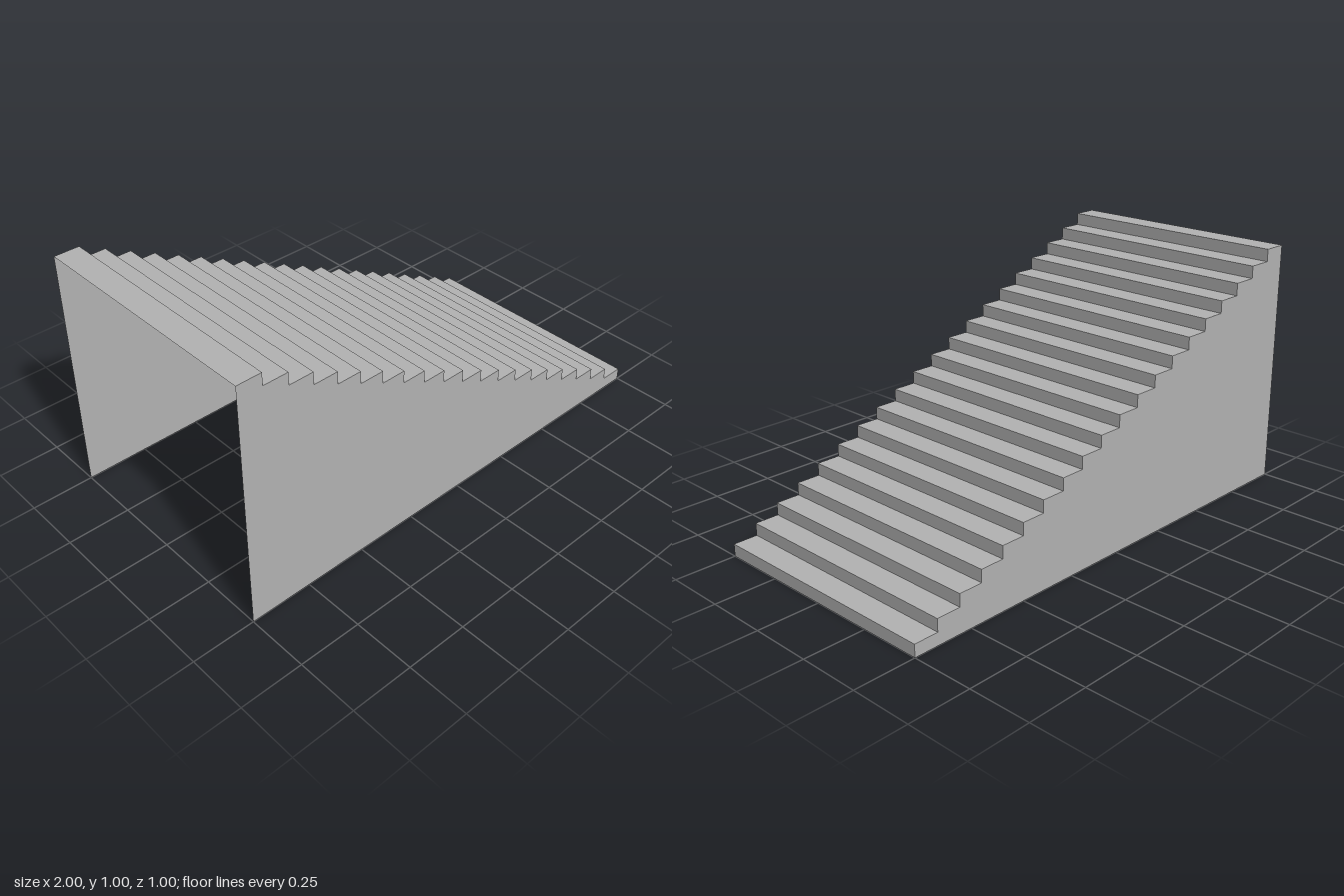
import * as THREE from 'three';

const STEPS = 20, RUN = 0.1, RISE = 0.05, DEPTH = 1;

export function createModel() {
  const group = new THREE.Group();
  group.name = 'staircase';
  const grey = new THREE.MeshStandardMaterial({ color: 0xb2b2b2, side: THREE.DoubleSide });
  grey.name = 'grey';

  const add = (name, geometry, x, y, z) => {
    const mesh = new THREE.Mesh(geometry, grey);
    mesh.name = name;
    mesh.position.set(x, y, z);
    group.add(mesh);
  };

  // Stepped side profile, climbing from the low end (+x) to the high end (-x)
  const profile = new THREE.Shape();
  profile.moveTo(-1, 0);
  profile.lineTo(1, 0);
  for (let i = 0; i < STEPS; i++) {
    const top = (i + 1) * RISE;
    profile.lineTo(1 - i * RUN, top);
    profile.lineTo(1 - (i + 1) * RUN, top);
  }

  // Thin side walls; the underside and high end stay open
  const wall = new THREE.ShapeGeometry(profile);
  add('frontWall', wall, 0, 0, DEPTH / 2);
  add('backWall', wall, 0, 0, -DEPTH / 2);

  // Treads and risers as thin sheets
  const tread = new THREE.PlaneGeometry(RUN, DEPTH).rotateX(-Math.PI / 2);
  const riser = new THREE.PlaneGeometry(DEPTH, RISE).rotateY(Math.PI / 2);
  for (let i = 0; i < STEPS; i++) {
    add('tread', tread, 1 - (i + 0.5) * RUN, (i + 1) * RISE, 0);
    add('riser', riser, 1 - i * RUN, (i + 0.5) * RISE, 0);
  }

  return group;
}
